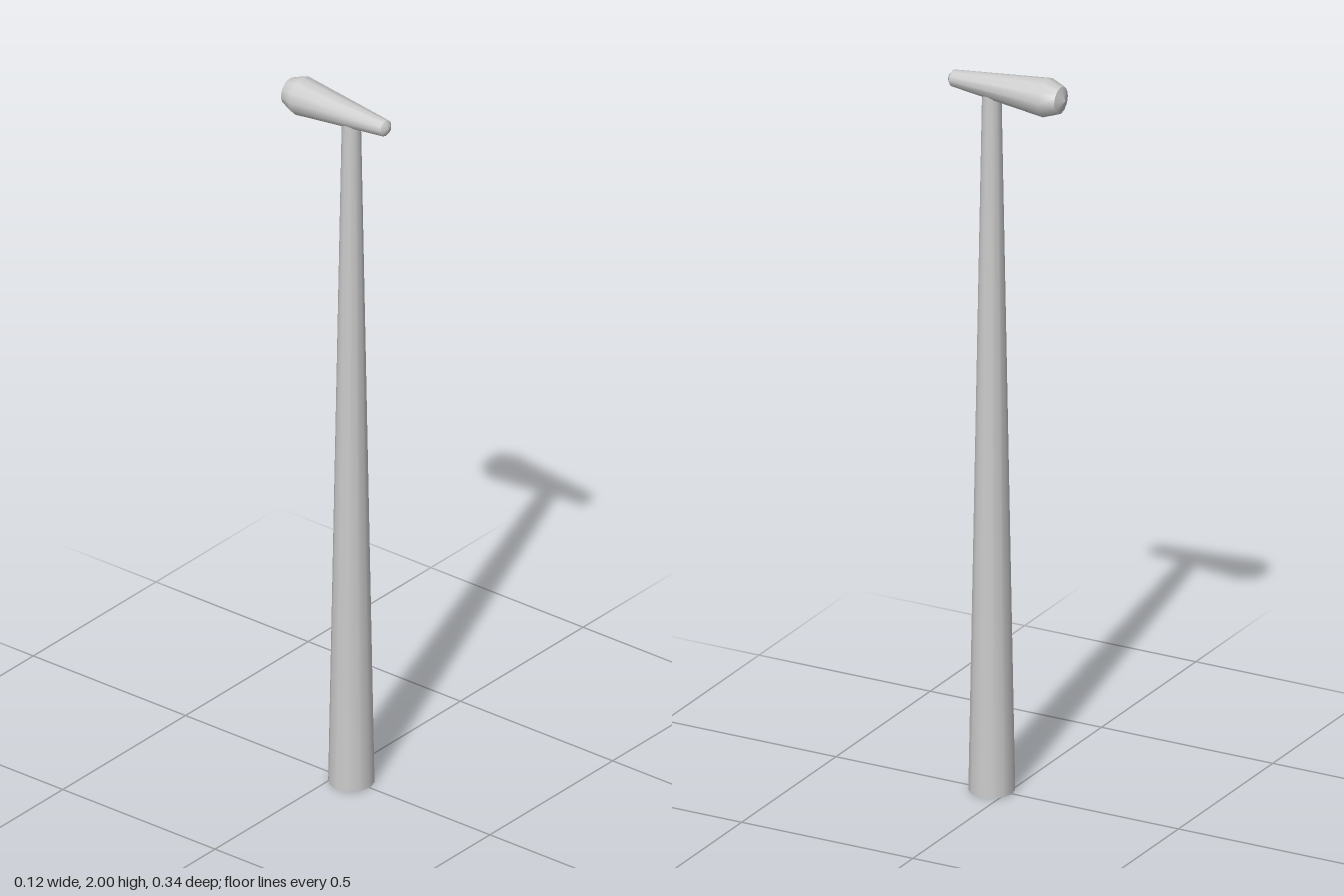
import * as THREE from 'three';

const SIDES = 12;

export function createModel() {
  const model = new THREE.Group();
  const grey = new THREE.MeshStandardMaterial({ color: 0xcccccc });

  // Tapered tower, its top sunk into the housing
  const base = 0, top = 1.93;
  const tower = new THREE.Mesh(
    new THREE.CylinderGeometry(0.025, 0.06, top - base, SIDES), grey);
  tower.name = 'tower';
  tower.position.set(0, (base + top) / 2, 0.045);
  model.add(tower);

  // Housing: [radius, z] from back to front; repeated points keep a sharp edge
  const profile = [
    [0, -0.17], [0.037, -0.157], [0.037, -0.157], [0.052, -0.118],
    [0.022, 0.158], [0.022, 0.158], [0.012, 0.166], [0, 0.168],
  ].map(([r, z]) => new THREE.Vector2(r, z));
  const housing = new THREE.Mesh(
    new THREE.LatheGeometry(profile, SIDES).rotateX(Math.PI / 2), grey);
  housing.name = 'housing';
  housing.position.y = 1.948;
  model.add(housing);

  return model;
}
